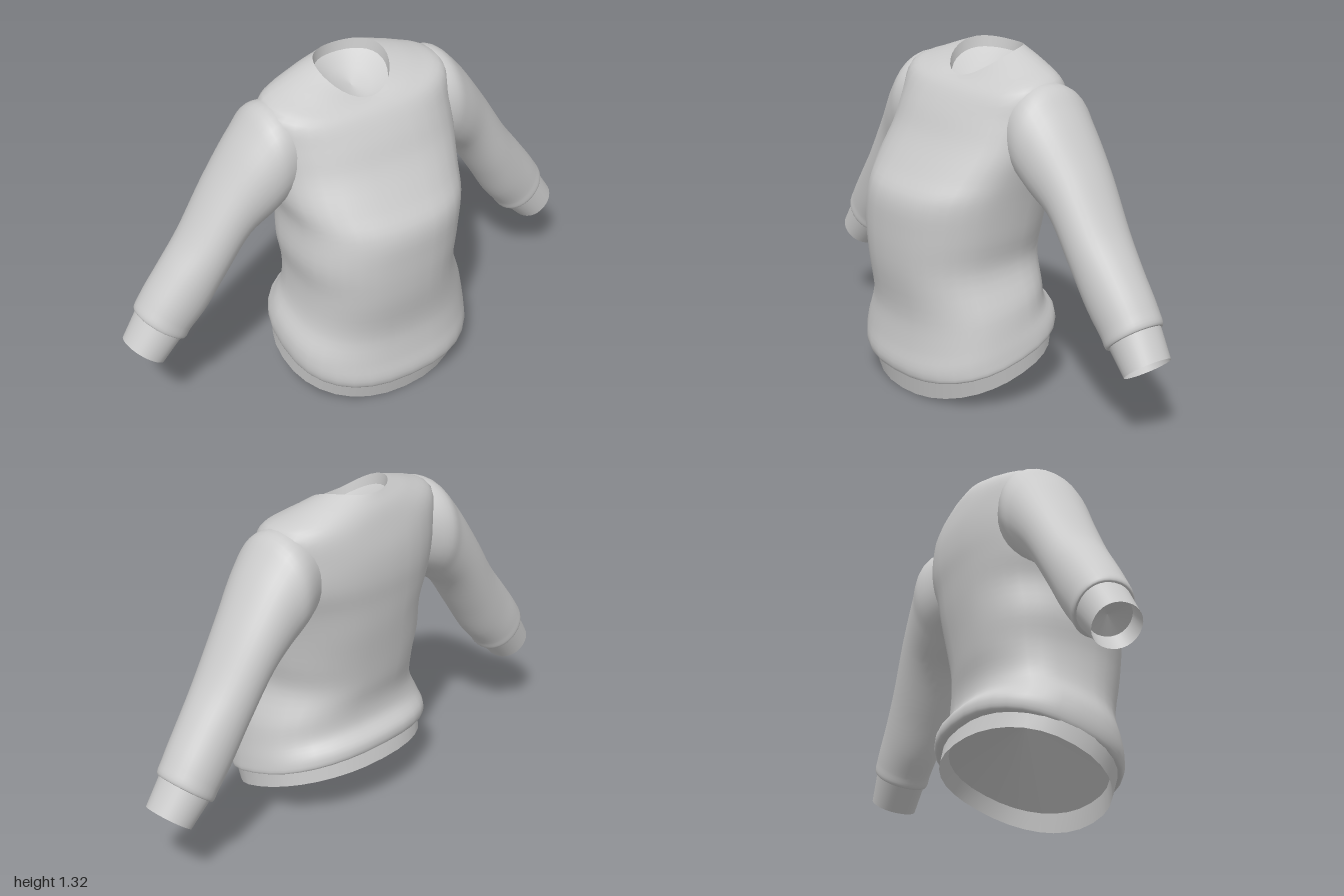
import * as THREE from 'three';

const SIDES = 32;
const material = new THREE.MeshStandardMaterial({ color: 0xcccccc, side: THREE.DoubleSide });

// Closed cross-section around c with half axes u and v; n squares it off, lift raises both u ends.
function ring(c, u, v, n = 2, lift = 0) {
  const pts = [];
  const soft = (k) => Math.sign(k) * Math.pow(Math.abs(k), 2 / n);
  for (let j = 0; j < SIDES; j++) {
    const a = (j / SIDES) * Math.PI * 2;
    const p = c.clone().addScaledVector(u, soft(Math.cos(a))).addScaledVector(v, soft(Math.sin(a)));
    p.y += lift * Math.cos(a) ** 2;
    pts.push(p);
  }
  return pts;
}

// Skin through a list of rings; steps > 0 runs a smooth curve along each column.
function loft(name, rings, steps = 0) {
  const columns = [];
  for (let j = 0; j < SIDES; j++) {
    const line = rings.map((r) => r[j]);
    columns.push(steps ? new THREE.CatmullRomCurve3(line).getPoints(steps) : line);
  }
  const rows = columns[0].length, pos = [], idx = [];
  for (let i = 0; i < rows; i++) {
    for (let j = 0; j < SIDES; j++) {
      pos.push(...columns[j][i].toArray());
      if (i === rows - 1) continue;
      const a = i * SIDES + j, b = i * SIDES + ((j + 1) % SIDES);
      idx.push(a, a + SIDES, b, b, a + SIDES, b + SIDES);
    }
  }
  const g = new THREE.BufferGeometry();
  g.setAttribute('position', new THREE.Float32BufferAttribute(pos, 3));
  g.setIndex(idx);
  g.computeVertexNormals();
  const mesh = new THREE.Mesh(g, material);
  mesh.name = name;
  return mesh;
}

// Torso ring from its front (y, z), back (y, z), half width, x offset, side lift and squareness.
function bodyRing([yF, zF, yB, zB, w, x = 0, lift = 0, n = 2.4]) {
  return ring(
    new THREE.Vector3(x, (yF + yB) / 2, (zF + zB) / 2),
    new THREE.Vector3(w, 0, 0),
    new THREE.Vector3(0, (yF - yB) / 2, (zF - zB) / 2), n, lift);
}

// Sleeve ring from its outer (x, y), inner (x, y), front z and back z.
function sleeveRing([ox, oy, ix, iy, zF, zB], side) {
  const rise = side < 0 ? 0.035 * THREE.MathUtils.smoothstep((ox + ix) / 2, 0.5, 0.9) : 0;
  return ring(
    new THREE.Vector3((side * (ox + ix)) / 2, (oy + iy) / 2 + rise, (zF + zB) / 2),
    new THREE.Vector3((side * (ox - ix)) / 2, (oy - iy) / 2, 0),
    new THREE.Vector3(0, 0, (-side * (zF - zB)) / 2), 2.1);
}

const point = (x, y, z) => ring(new THREE.Vector3(x, y, z), new THREE.Vector3(), new THREE.Vector3());

function createModel() {
  const model = new THREE.Group();
  model.name = 'sweater';

  // Torso, from the blouse over the hem up to the neckline
  const body = [
    [0.085, 0.29, 0.275, -0.275, 0.375],
    [0.085, 0.315, 0.285, -0.31, 0.395, -0.005],
    [0.12, 0.325, 0.33, -0.31, 0.4, -0.012],
    [0.2, 0.312, 0.38, -0.265, 0.39, -0.015],
    [0.32, 0.302, 0.45, -0.255, 0.36, -0.005],
    [0.5, 0.328, 0.55, -0.272, 0.328, -0.025],
    [0.65, 0.335, 0.66, -0.288, 0.345, -0.025],
    [0.79, 0.325, 0.79, -0.308, 0.35, -0.01],
    [0.88, 0.265, 0.9, -0.32, 0.37, -0.01],
    [1.0, 0.185, 1.0, -0.33, 0.385],
    [1.1, 0.135, 1.1, -0.325, 0.39],
    [1.17, 0.09, 1.19, -0.305, 0.38, 0, 0.035],
    [1.2, 0.058, 1.26, -0.282, 0.275, 0, 0.033, 2.2],
    [1.215, 0.022, 1.31, -0.25, 0.145, 0, 0.042, 2],
  ];
  model.add(loft('torso', body.map(bodyRing), 52));

  // Neck opening: turned-in edge and lining
  const neckRim = bodyRing(body[body.length - 1]);
  const neckSeam = bodyRing([1.185, 0.015, 1.27, -0.245, 0.14, 0, 0.035, 2]);
  model.add(loft('neckEdge', [neckRim, neckSeam]));
  model.add(loft('neckLining', [neckSeam, bodyRing([1.175, -0.04, 1.23, -0.19, 0.075, 0, 0.01, 2]), point(0, 1.195, -0.115)]));

  // Hem band, its inner face and the lining above it
  const hemRim = bodyRing([0, 0.28, 0.21, -0.3, 0.39, -0.01, 0.02, 2.2]);
  const hemTop = bodyRing([0.1, 0.302, 0.29, -0.28, 0.395, -0.01, 0.01, 2.3]);
  const hemInside = bodyRing([0.08, 0.275, 0.265, -0.265, 0.365, -0.01, 0.01, 2.2]);
  model.add(loft('hemBand', [hemRim, hemTop]));
  model.add(loft('hemInside', [hemInside, hemRim]));
  model.add(loft('hemLining', [point(0, 0.35, 0), hemInside]));

  // Sleeves with cuffs
  const sleeve = [
    [0.27, 1.22, 0.28, 0.88, 0.03, -0.26],
    [0.39, 1.225, 0.36, 0.84, 0.055, -0.3],
    [0.47, 1.15, 0.41, 0.8, 0.045, -0.292],
    [0.6, 0.97, 0.49, 0.735, 0.012, -0.28],
    [0.73, 0.765, 0.6, 0.57, -0.005, -0.265],
    [0.82, 0.645, 0.685, 0.43, -0.018, -0.258],
    [0.91, 0.52, 0.745, 0.355, -0.03, -0.255],
    [0.94, 0.465, 0.77, 0.322, -0.035, -0.25],
    [0.925, 0.45, 0.785, 0.328, -0.05, -0.235],
  ];
  for (const side of [1, -1]) {
    const arm = new THREE.Group();
    arm.name = side > 0 ? 'leftSleeve' : 'rightSleeve';
    const at = (row) => sleeveRing(row, side);
    const cuffTop = at([0.93, 0.465, 0.775, 0.335, -0.043, -0.243]);
    const cuffRim = at([1.0, 0.355, 0.865, 0.245, -0.048, -0.23]);
    const cuffInside = at([0.95, 0.4, 0.83, 0.305, -0.06, -0.22]);
    arm.add(loft('sleeve', sleeve.map(at), 40));
    arm.add(loft('cuff', [cuffTop, cuffRim]));
    arm.add(loft('cuffInside', [cuffRim, cuffInside]));
    arm.add(loft('cuffLining', [cuffInside, at([0.87, 0.37, 0.87, 0.37, -0.14, -0.14])]));
    model.add(arm);
  }
  return model;
}

export { createModel };
